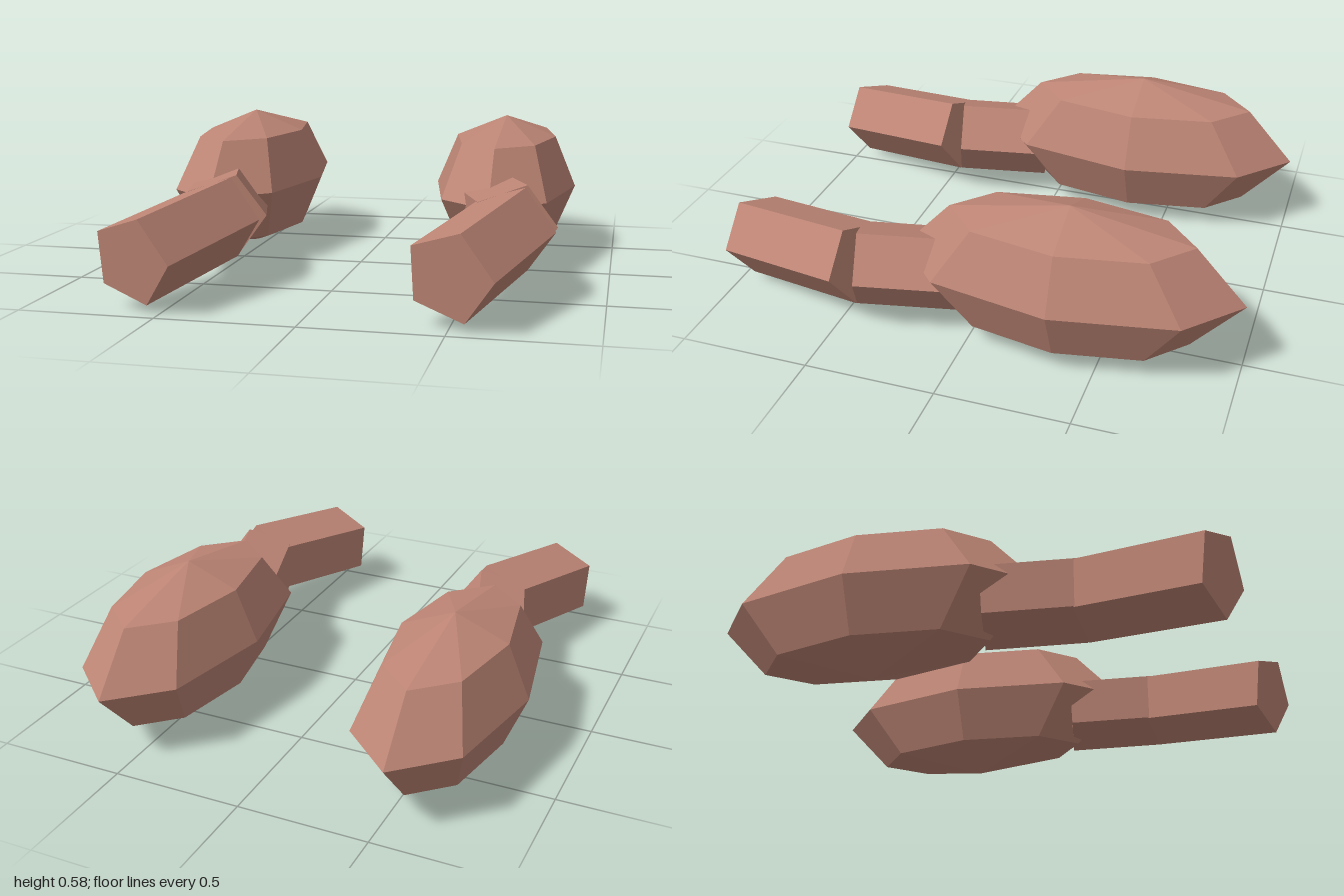
import * as THREE from 'three';

const skin = new THREE.MeshStandardMaterial({ color: 0xbd8575, flatShading: true });
skin.name = 'dusty pink';

// Five-sided bar between two points, with one ridge pointing level toward +x
function bar(name, from, to) {
  const axis = to.clone().sub(from);
  const length = axis.length();
  axis.normalize();
  const side = new THREE.Vector3(-axis.z, 0, axis.x).normalize();
  const up = axis.clone().cross(side);
  const geometry = new THREE.CylinderGeometry(0.163, 0.163, length, 5);
  geometry.applyMatrix4(new THREE.Matrix4().makeBasis(up, axis, side));
  const mid = from.clone().add(to).multiplyScalar(0.5);
  geometry.translate(mid.x, mid.y, mid.z);
  const mesh = new THREE.Mesh(geometry, skin);
  mesh.name = name;
  return mesh;
}

function createLimb(name) {
  const limb = new THREE.Group();
  limb.name = name;

  // Faceted, stretched bulb
  const bulb = new THREE.Mesh(new THREE.SphereGeometry(1, 8, 4), skin);
  bulb.name = 'bulb';
  bulb.scale.set(0.29, 0.29, 0.645);
  bulb.position.set(0, 0.295, -0.355);

  // Bent arm: the two bars share one joint
  const tip = new THREE.Vector3(-0.048, 0.188, 0.953);
  const joint = new THREE.Vector3(0.11, 0.257, 0.427);
  const root = new THREE.Vector3(0.005, 0.236, 0.07);
  limb.add(bulb, bar('frontSegment', tip, joint), bar('neckSegment', joint, root));
  return limb;
}

export function createModel() {
  const model = new THREE.Group();
  model.name = 'limbPair';
  for (const [name, x] of [['leftLimb', 0.55], ['rightLimb', -0.55]]) {
    const limb = createLimb(name);
    limb.position.x = x;
    model.add(limb);
  }
  return model;
}
